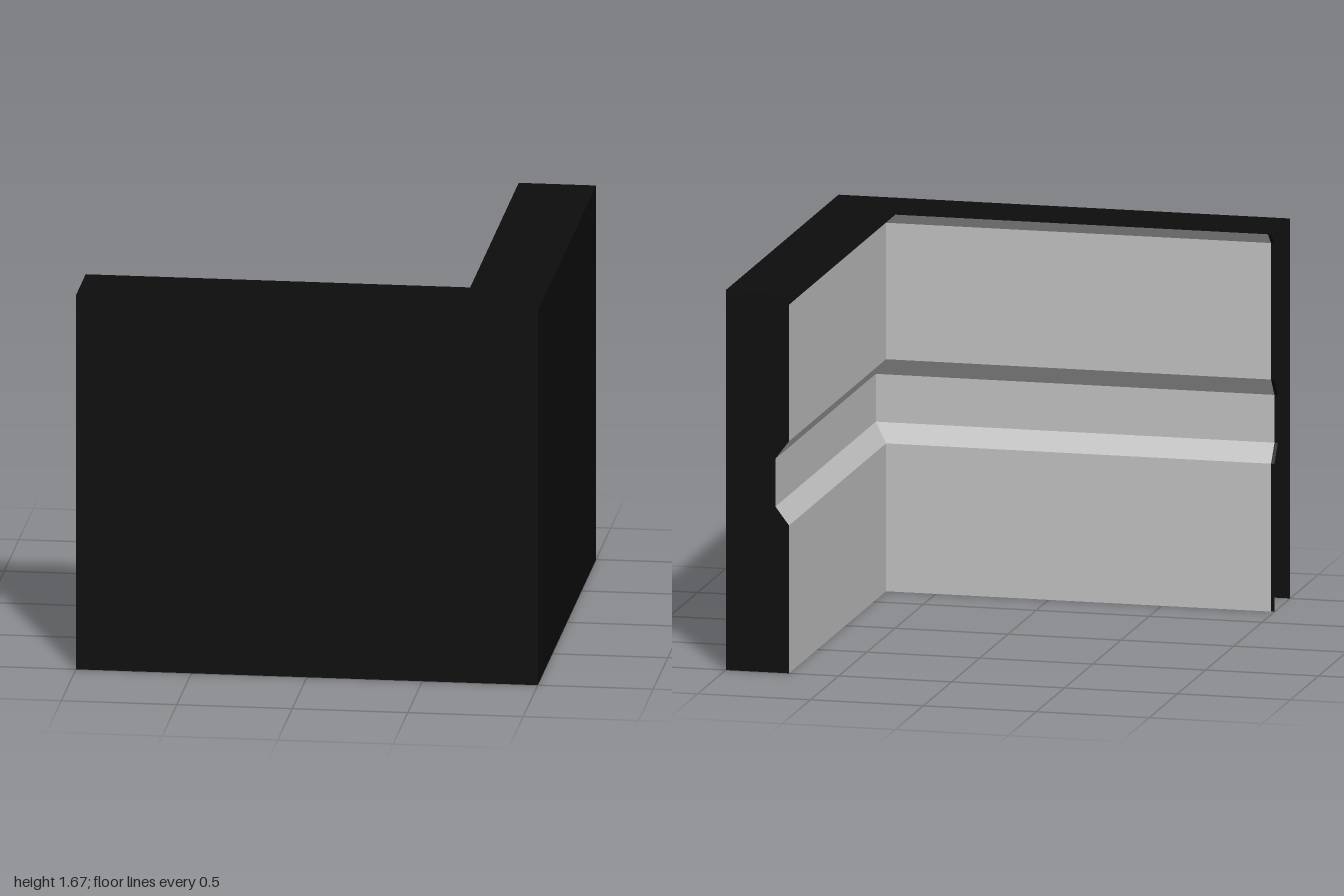
import * as THREE from 'three';

const H = 1.67;
const black = new THREE.MeshStandardMaterial({ name: 'black shell', color: 0x0d0d0d, side: THREE.DoubleSide });
const grey = new THREE.MeshStandardMaterial({ name: 'grey lining', color: 0xbfbfbf, side: THREE.DoubleSide });

// Profiles as [depth inward from the outer face, height]
const shellProfile = [[0, 0], [0, H], [0.335, H]];
const liningProfile = [
  [0.335, H], [0.28, 1.62], [0.28, 1.02], [0.22, 0.94],
  [0.22, 0.73], [0.28, 0.65], [0.28, 0],
];

// Path stations: each gives [x, z] for a depth, so the corner is mitred
const endX = (x) => (d) => [x, 1 - d];
const corner = (d) => [1 - d, 1 - d];
const endZ = (d) => [1 - d, -1];

// Sweep an open profile along the stations with hard edges
function sweep(name, profile, path, material) {
  const pos = [];
  const point = (station, [d, y]) => {
    const [x, z] = station(d);
    return [x, y, z];
  };
  for (let i = 0; i < path.length - 1; i++) {
    for (let j = 0; j < profile.length - 1; j++) {
      const a = point(path[i], profile[j]);
      const b = point(path[i + 1], profile[j]);
      const c = point(path[i + 1], profile[j + 1]);
      const d = point(path[i], profile[j + 1]);
      pos.push(...a, ...b, ...c, ...a, ...c, ...d);
    }
  }
  const geo = new THREE.BufferGeometry();
  geo.setAttribute('position', new THREE.Float32BufferAttribute(pos, 3));
  geo.computeVertexNormals();
  const mesh = new THREE.Mesh(geo, material);
  mesh.name = name;
  return mesh;
}

export function createModel() {
  const group = new THREE.Group();
  group.name = 'cornerWall';

  // Outer walls and top, open underneath
  group.add(sweep('outerShell', shellProfile, [endX(-1), corner, endZ], black));

  // Inner faces with the top lip and the horizontal groove
  group.add(sweep('innerLining', liningProfile, [endX(-0.985), corner, endZ], grey));

  // Narrow dark edge at the open end
  group.add(sweep('endTrim', liningProfile, [endX(-1), endX(-0.985)], black));

  // Closed end at the back
  const outline = [[0, 0], [0, H], ...liningProfile];
  const shape = new THREE.Shape(outline.map(([d, y]) => new THREE.Vector2(d - 1, y)));
  const cap = new THREE.Mesh(new THREE.ShapeGeometry(shape).rotateY(Math.PI).translate(0, 0, -1), black);
  cap.name = 'endCap';
  group.add(cap);

  return group;
}
